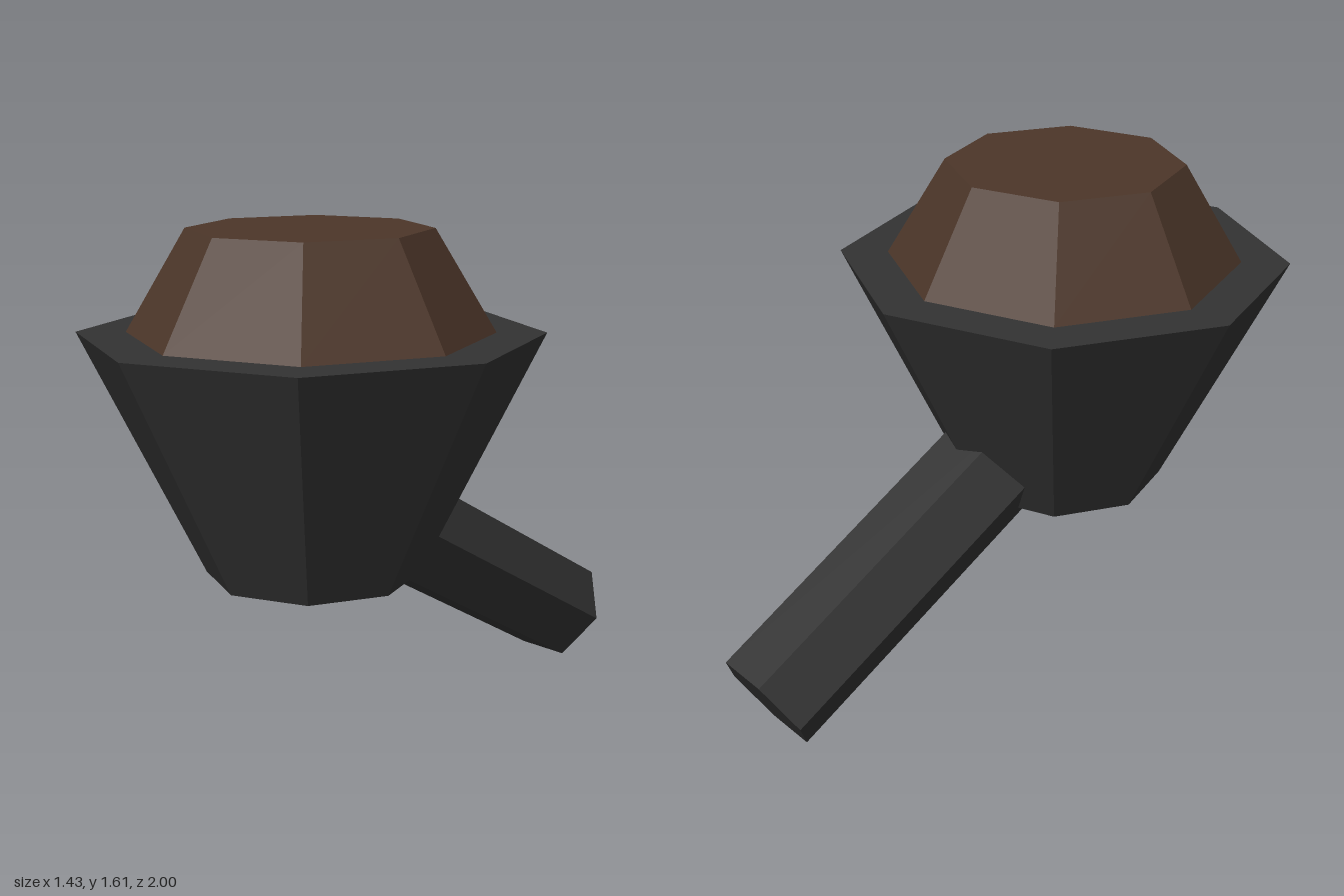
import * as THREE from 'three';

export function createModel() {
  const model = new THREE.Group();

  const charcoal = new THREE.MeshStandardMaterial({ color: 0x333333, flatShading: true });
  charcoal.name = 'charcoal';
  const brown = new THREE.MeshStandardMaterial({ color: 0x4c3629, flatShading: true });
  brown.name = 'brown';

  const addPart = (name, geometry, material, x, y, z) => {
    const mesh = new THREE.Mesh(geometry, material);
    mesh.name = name;
    mesh.position.set(x, y, z);
    model.add(mesh);
    return mesh;
  };

  const bowlZ = 0.285;

  // Eight-sided bowl, flaring upward
  addPart('bowl', new THREE.CylinderGeometry(0.715, 0.335, 0.76, 8), charcoal, 0, 0.92, bowlZ);

  // Faceted mound heaped on the bowl
  addPart('filling', new THREE.CylinderGeometry(0.375, 0.562, 0.315, 8), brown, 0, 1.4575, bowlZ);

  // Six-sided handle sloping down to the back, its upper end buried in the bowl
  const length = 1.2;
  const tilt = Math.PI / 3;
  const handle = addPart(
    'handle',
    new THREE.CylinderGeometry(0.182, 0.182, length, 6, 1, false, Math.PI / 2),
    charcoal,
    0,
    0.137 + (length / 2) * Math.cos(tilt),
    -0.921 + (length / 2) * Math.sin(tilt)
  );
  handle.rotation.x = tilt;

  return model;
}
